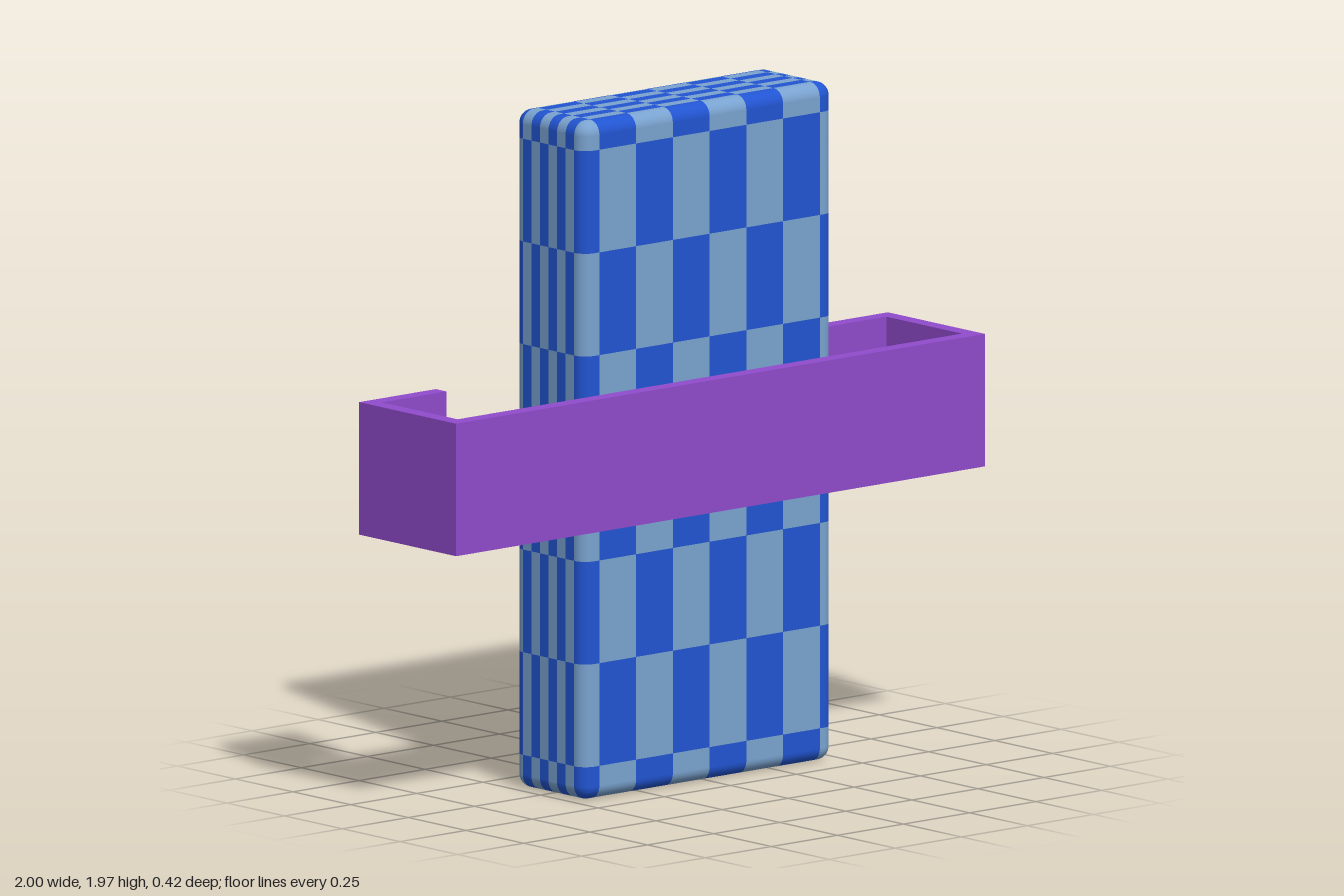
import * as THREE from 'three';

const purple = new THREE.MeshStandardMaterial({ color: 0x8f4bcc });
purple.name = 'purple';
const darkBlue = new THREE.MeshStandardMaterial({ color: 0x2255d2 });
darkBlue.name = 'dark blue';
const lightBlue = new THREE.MeshStandardMaterial({ color: 0x7aa3d0 });
lightBlue.name = 'light blue';

const R = 0.04; // edge rounding of the block
const LO = [-0.475, 0, -0.145];
const HI = [0.472, 1.97, 0.16];

// Planes that divide the block into checks along x, y and z
const cuts = (start, step, n) => Array.from({ length: n }, (_, i) => start + i * step);
const CUTS = [cuts(-0.417, 0.139, 7), cuts(0.098, 0.2983, 7), cuts(-0.105, 0.037, 7)];

// Grid lines along one axis: rounded edge, checks, rounded edge
function gridLines(axis) {
  const edge = [45, 33.75, 22.5, 11.25, 0].map((a) => R * (1 - Math.tan(THREE.MathUtils.degToRad(a))));
  const lines = [
    ...edge.map((e) => LO[axis] + e),
    ...CUTS[axis],
    ...edge.map((e) => HI[axis] - e).reverse(),
  ];
  return lines.filter((v, i) => i === 0 || v - lines[i - 1] > 1e-5);
}

// Rounded block whose surface is split into the checks of one colour
function checkGeometry(parity) {
  const positions = [], normals = [];
  const lines = [0, 1, 2].map(gridLines);
  const addVertex = (q) => {
    const p = new THREE.Vector3(...q);
    const inner = new THREE.Vector3(...q.map((c, i) => THREE.MathUtils.clamp(c, LO[i] + R, HI[i] - R)));
    const n = p.sub(inner).normalize();
    normals.push(n.x, n.y, n.z);
    inner.addScaledVector(n, R);
    positions.push(inner.x, inner.y, inner.z);
  };
  for (let d = 0; d < 3; d++) {
    const u = (d + 1) % 3, v = (d + 2) % 3;
    for (const side of [-1, 1]) {
      const point = (a, b) => {
        const q = [0, 0, 0];
        q[d] = side > 0 ? HI[d] : LO[d];
        q[u] = a;
        q[v] = b;
        return q;
      };
      for (let i = 0; i < lines[u].length - 1; i++) {
        for (let j = 0; j < lines[v].length - 1; j++) {
          const [a0, a1] = [lines[u][i], lines[u][i + 1]];
          const [b0, b1] = [lines[v][j], lines[v][j + 1]];
          const mid = point((a0 + a1) / 2, (b0 + b1) / 2);
          const cell = mid.reduce((sum, c, k) => sum + CUTS[k].filter((t) => t < c).length, 0);
          if (cell % 2 !== parity) continue;
          const quad = [point(a0, b0), point(a1, b0), point(a1, b1), point(a0, b1)];
          const order = side > 0 ? [0, 1, 2, 0, 2, 3] : [0, 2, 1, 0, 3, 2];
          order.forEach((k) => addVertex(quad[k]));
        }
      }
    }
  }
  const geometry = new THREE.BufferGeometry();
  geometry.setAttribute('position', new THREE.Float32BufferAttribute(positions, 3));
  geometry.setAttribute('normal', new THREE.Float32BufferAttribute(normals, 3));
  return geometry;
}

export function createModel() {
  const model = new THREE.Group();

  // Checked block
  const block = new THREE.Group();
  block.name = 'block';
  [lightBlue, darkBlue].forEach((material, parity) => {
    const mesh = new THREE.Mesh(checkGeometry(parity), material);
    mesh.name = parity ? 'darkChecks' : 'lightChecks';
    block.add(mesh);
  });
  model.add(block);

  // Clip: a bar across the front with arms hooked inward at the back
  const T = 0.046, FRONT = 0.207, BACK = -0.213, HOOK = 0.71;
  const half = [[1, FRONT], [1, BACK], [HOOK, BACK], [HOOK, BACK + T], [1 - T, BACK + T], [1 - T, FRONT - T]];
  const outline = [...half, ...half.map(([x, z]) => [-x, z]).reverse()];
  const shape = new THREE.Shape(outline.map(([x, z]) => new THREE.Vector2(x, -z)));
  const clipGeometry = new THREE.ExtrudeGeometry(shape, { depth: 0.385, bevelEnabled: false });
  clipGeometry.rotateX(-Math.PI / 2);
  const clip = new THREE.Mesh(clipGeometry, purple);
  clip.name = 'clip';
  clip.position.y = 0.79;
  model.add(clip);

  return model;
}
